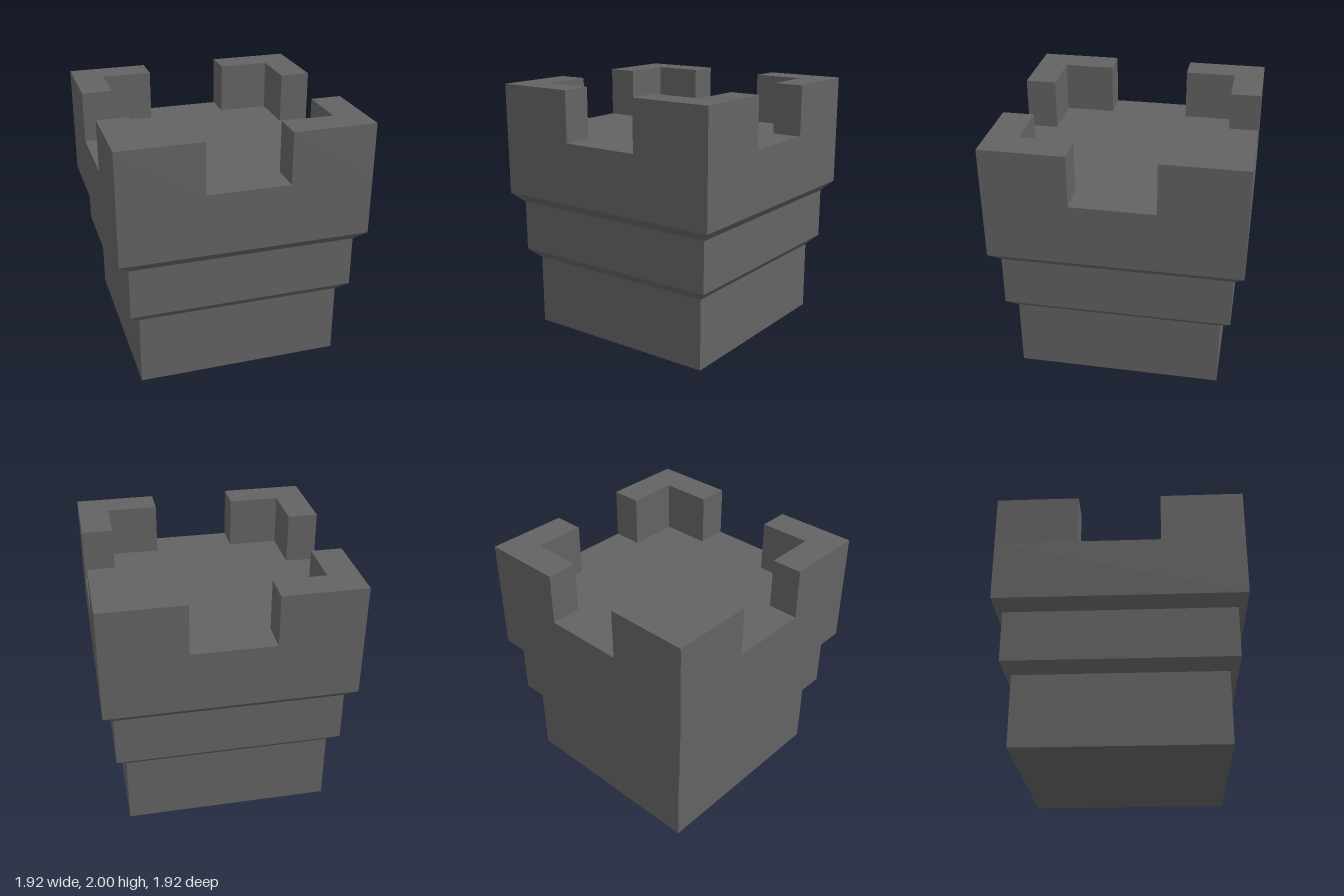
import * as THREE from 'three';

export function createModel() {
  const model = new THREE.Group();
  model.name = 'squareTower';

  const stone = new THREE.MeshStandardMaterial({ color: 0x636363, flatShading: true });
  stone.name = 'dark grey stone';

  // Tower body: half-width and height at each step, turned into a square section
  const profile = [
    [0, 0], [0.8, 0], [0.8, 0.56], [0.88, 0.64],
    [0.88, 1.04], [0.96, 1.12], [0.96, 1.6], [0, 1.6],
  ].map(([half, y]) => new THREE.Vector2(half * Math.SQRT2, y));
  const bodyGeometry = new THREE.LatheGeometry(profile, 4, Math.PI / 4).toNonIndexed();
  bodyGeometry.computeVertexNormals();
  const body = new THREE.Mesh(bodyGeometry, stone);
  body.name = 'towerBody';
  model.add(body);

  // L-shaped battlement standing on each corner of the roof
  const outer = 0.96, inner = 0.72, end = 0.32;
  const corner = new THREE.Shape([
    [end, inner], [inner, inner], [inner, end],
    [outer, end], [outer, outer], [end, outer],
  ].map(([x, y]) => new THREE.Vector2(x, y)));
  const battlementGeometry = new THREE.ExtrudeGeometry(corner, { depth: 0.4, bevelEnabled: false });
  battlementGeometry.rotateX(-Math.PI / 2);

  const names = ['backLeft', 'backRight', 'frontRight', 'frontLeft'];
  names.forEach((name, i) => {
    const battlement = new THREE.Mesh(battlementGeometry, stone);
    battlement.name = name + 'Battlement';
    battlement.position.y = 1.6;
    battlement.rotation.y = i * Math.PI / 2;
    model.add(battlement);
  });

  return model;
}
